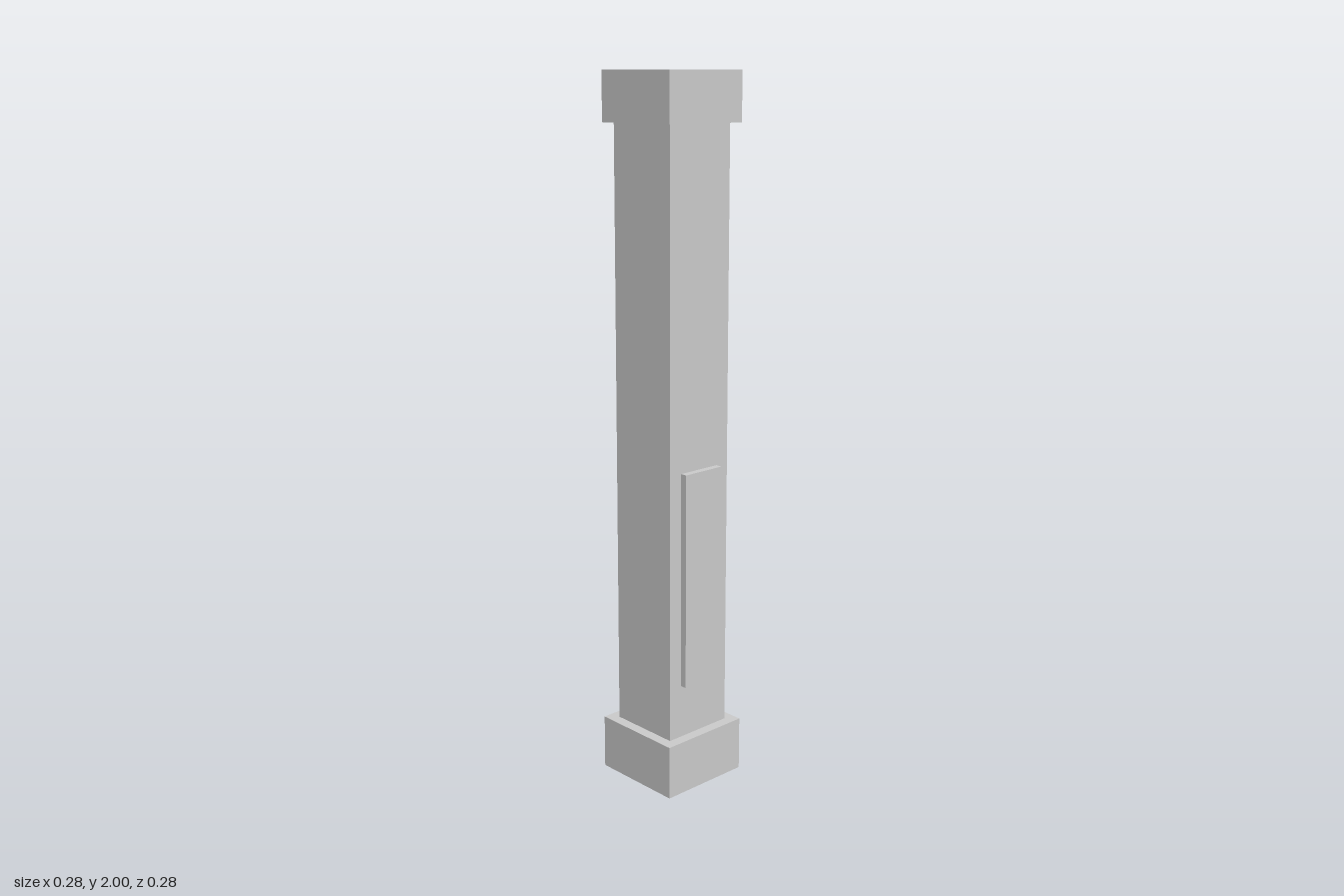
import * as THREE from 'three';

const material = new THREE.MeshStandardMaterial({ color: 0xcccccc });

// Box spanning y0..y1, centred on x = 0
function block(name, width, depth, y0, y1, z = 0) {
  const mesh = new THREE.Mesh(new THREE.BoxGeometry(width, y1 - y0, depth), material);
  mesh.name = name;
  mesh.position.set(0, (y0 + y1) / 2, z);
  return mesh;
}

export function createModel() {
  const pillar = new THREE.Group();
  pillar.name = 'squarePillar';

  const shaftWidth = 0.218;
  const panelDepth = 0.02;

  pillar.add(
    block('base', 0.28, 0.28, 0, 0.156),
    block('shaft', shaftWidth, shaftWidth, 0.156, 1.865),
    block('cap', 0.262, 0.262, 1.865, 2),
    // Raised panel on the front face
    block('frontPanel', 0.135, panelDepth, 0.312, 0.934, (shaftWidth + panelDepth) / 2),
  );
  return pillar;
}
